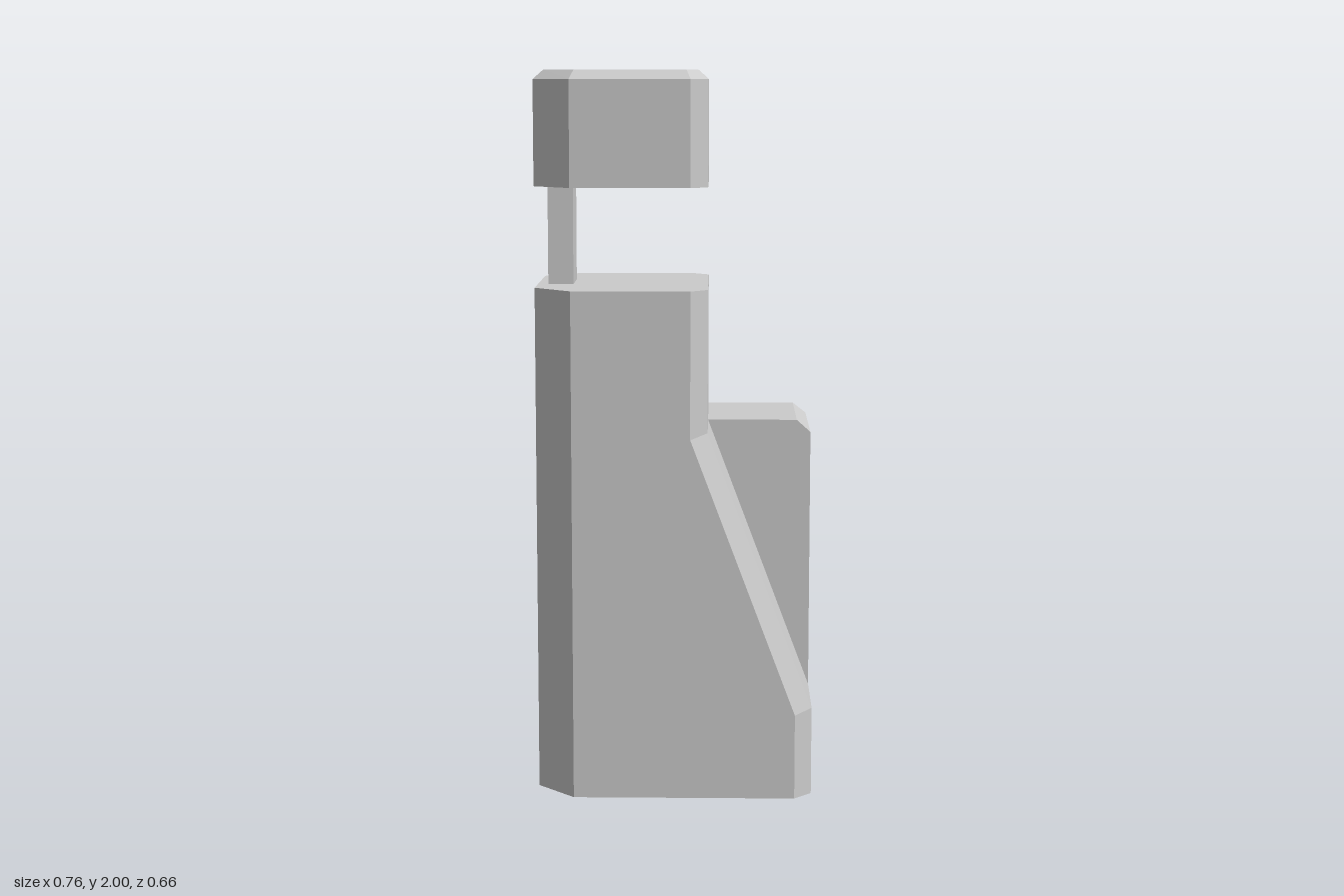
import * as THREE from 'three';

const material = new THREE.MeshStandardMaterial({ color: 0xcccccc, flatShading: true });

// Capped solid through rings of [x, y, z] points (clockwise seen from above, bottom ring first)
function loft(name, rings) {
  const pos = [];
  const tri = (a, b, c) => pos.push(...a, ...b, ...c);
  const n = rings[0].length;
  for (let r = 0; r < rings.length - 1; r++) {
    const lo = rings[r], hi = rings[r + 1];
    for (let i = 0; i < n; i++) {
      const j = (i + 1) % n;
      tri(lo[i], hi[i], hi[j]);
      tri(lo[i], hi[j], lo[j]);
    }
  }
  const bottom = rings[0], top = rings[rings.length - 1];
  for (let i = 1; i < n - 1; i++) {
    tri(bottom[0], bottom[i], bottom[i + 1]);
    tri(top[0], top[i + 1], top[i]);
  }
  const geo = new THREE.BufferGeometry();
  geo.setAttribute('position', new THREE.Float32BufferAttribute(pos, 3));
  geo.computeVertexNormals();
  const mesh = new THREE.Mesh(geo, material);
  mesh.name = name;
  return mesh;
}

const ringAt = (plan, y) => plan.map(([x, z]) => [x, y, z]);

export function createModel() {
  const model = new THREE.Group();
  model.name = 'tower';

  // Octagonal plan shared by the shaft and the head
  const plan = [
    [-0.384, -0.145], [-0.28, -0.249], [0.043, -0.249], [0.09, -0.201],
    [0.09, 0.284], [0.043, 0.332], [-0.28, 0.332], [-0.384, 0.228],
  ];
  const insetPlan = [
    [-0.356, -0.134], [-0.268, -0.221], [0.032, -0.221], [0.063, -0.19],
    [0.063, 0.273], [0.032, 0.305], [-0.268, 0.305], [-0.356, 0.218],
  ];
  model.add(loft('shaft', [ringAt(plan, 0), ringAt(plan, 1.412)]));
  model.add(loft('head', [ringAt(plan, 1.688), ringAt(plan, 1.975), ringAt(insetPlan, 2)]));

  // Slim post carrying the head
  const post = new THREE.Mesh(new THREE.BoxGeometry(0.07, 0.28, 0.145), material);
  post.name = 'post';
  post.position.set(-0.32, 1.55, 0.043);
  model.add(post);

  // Rear block, bevelled along its back and right top edges
  const rect = (x1, z0) => [[-0.28, z0], [x1, z0], [x1, 0.04], [-0.28, 0.04]];
  model.add(loft('rearBlock', [
    ringAt(rect(0.381, -0.333), 0),
    ringAt(rect(0.381, -0.333), 0.985),
    ringAt(rect(0.342, -0.295), 1.02),
  ]));

  // Sloping buttress with a bevelled front edge
  const section = (x, y, bevelX, bevelY) => [
    [0.043, y, 0.04], [x, y, 0.04], [x, y, 0.284], [bevelX, bevelY, 0.332], [0.043, bevelY, 0.332],
  ];
  model.add(loft('buttress', [
    section(0.381, 0, 0.333, 0),
    section(0.381, 0.247, 0.333, 0.238),
    section(0.09, 1.02, 0.043, 1.008),
  ]));

  return model;
}
